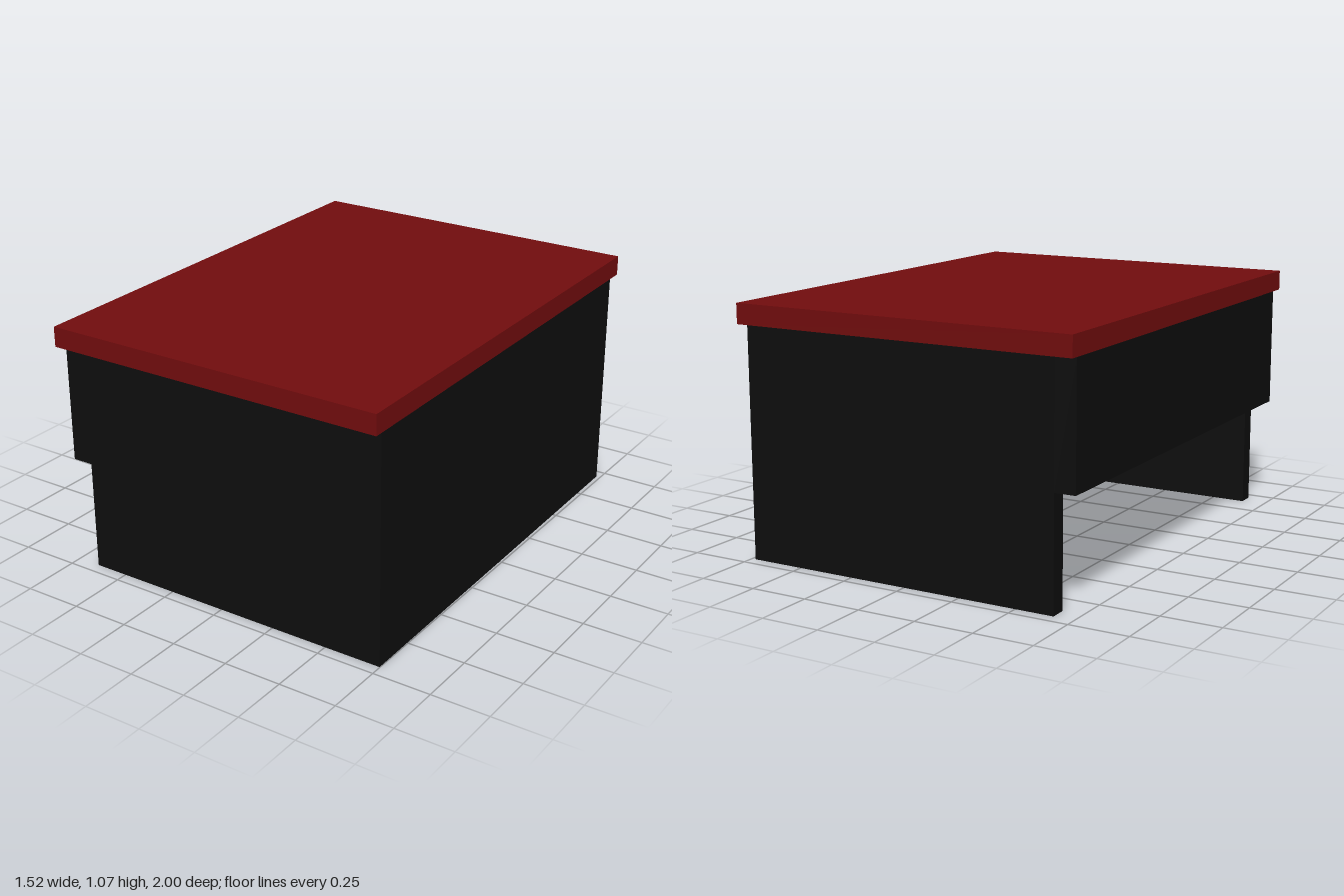
import * as THREE from 'three';

const SKEW = 0.009; // the whole desk leans very slightly sideways along its length

export function createModel() {
  const desk = new THREE.Group();
  desk.name = 'desk';
  const red = new THREE.MeshStandardMaterial({ color: 0x700c0d, flatShading: true });
  const black = new THREE.MeshStandardMaterial({ color: 0x0d0d0d, flatShading: true });
  const brown = new THREE.MeshStandardMaterial({ color: 0x4a260e, flatShading: true });

  const add = (name, geometry, material) => {
    const p = geometry.attributes.position;
    for (let i = 0; i < p.count; i++) p.setX(i, p.getX(i) + SKEW * p.getZ(i));
    geometry.computeVertexNormals();
    const mesh = new THREE.Mesh(geometry, material);
    mesh.name = name;
    desk.add(mesh);
  };
  // Box given by its limits on each axis
  const box = (x0, x1, y0, y1, z0, z1) =>
    new THREE.BoxGeometry(x1 - x0, y1 - y0, z1 - z0)
      .translate((x0 + x1) / 2, (y0 + y1) / 2, (z0 + z1) / 2);

  // Table top
  add('tableTop', box(-0.755, 0.75, 0.98, 1.065, -1, 1), red);

  // Full-height long panel and half-height panel on the open side
  add('longPanel', box(0.67, 0.74, 0, 0.98, -0.95, 0.95), black);
  add('halfPanel', box(-0.745, -0.655, 0.47, 0.98, -0.95, 0.95), black);

  // End panels
  add('frontPanel', box(-0.655, 0.67, 0, 0.98, 0.88, 0.95), black);
  add('backPanel', box(-0.655, 0.67, 0, 0.98, -0.95, -0.88), black);

  // Sloping shelf inside, fixed to the long panel and the front panel
  const profile = new THREE.Shape([
    new THREE.Vector2(-0.13, 0.33),
    new THREE.Vector2(0.67, 0.33),
    new THREE.Vector2(0.67, 0.54),
    new THREE.Vector2(-0.13, 0.345),
  ]);
  const shelf = new THREE.ExtrudeGeometry(profile, { depth: 0.52, bevelEnabled: false });
  add('slopingShelf', shelf.translate(0, 0, 0.36), brown);

  return desk;
}
